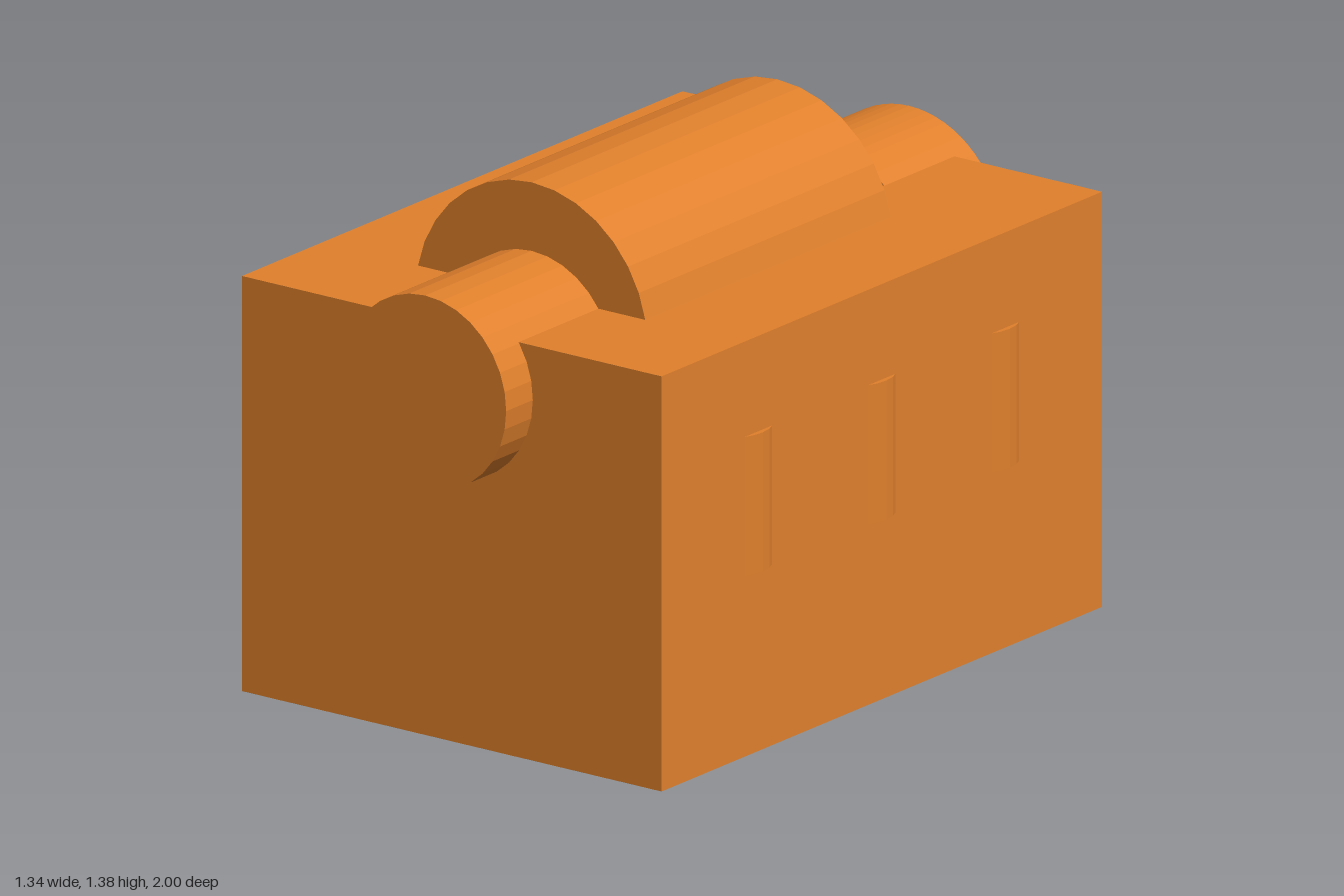
import * as THREE from 'three';

export function createModel() {
  const model = new THREE.Group();
  const material = new THREE.MeshStandardMaterial({ color: 0xe0802c, flatShading: true });

  const add = (name, geometry, x, y, z) => {
    const mesh = new THREE.Mesh(geometry, material);
    mesh.name = name;
    mesh.position.set(x, y, z);
    model.add(mesh);
  };

  // Cylinder lying along z between two z positions
  const barrel = (name, radius, y, z0, z1) => {
    const geometry = new THREE.CylinderGeometry(radius, radius, z1 - z0, 32).rotateX(Math.PI / 2);
    add(name, geometry, 0, y, (z0 + z1) / 2);
  };

  // Main block
  add('body', new THREE.BoxGeometry(1.31, 1.09, 1.82), 0, 0.545, -0.02);

  // Motor housing and front shaft, half sunk in the top
  barrel('motorHousing', 0.362, 1.018, -0.455, 0.56);
  barrel('frontShaft', 0.253, 0.947, 0.5, 1);

  // Rear socket: a ring whose bore ends at the back of the body
  const ring = new THREE.Shape().absarc(0, 0, 0.29, 0, Math.PI * 2);
  ring.holes.push(new THREE.Path().absarc(0, 0, 0.19, 0, Math.PI * 2, true));
  const socket = new THREE.ExtrudeGeometry(ring, { depth: 0.36, bevelEnabled: false, curveSegments: 32 });
  add('rearSocket', socket, 0, 0.875, -1);

  // Upright ribs, three on each side
  const rib = new THREE.CylinderGeometry(0.128, 0.128, 0.365, 24);
  for (const side of [-1, 1]) {
    for (const z of [0.49, -0.02, -0.53]) {
      add(side > 0 ? 'leftRib' : 'rightRib', rib, side * 0.541, 0.657, z);
    }
  }

  return model;
}
